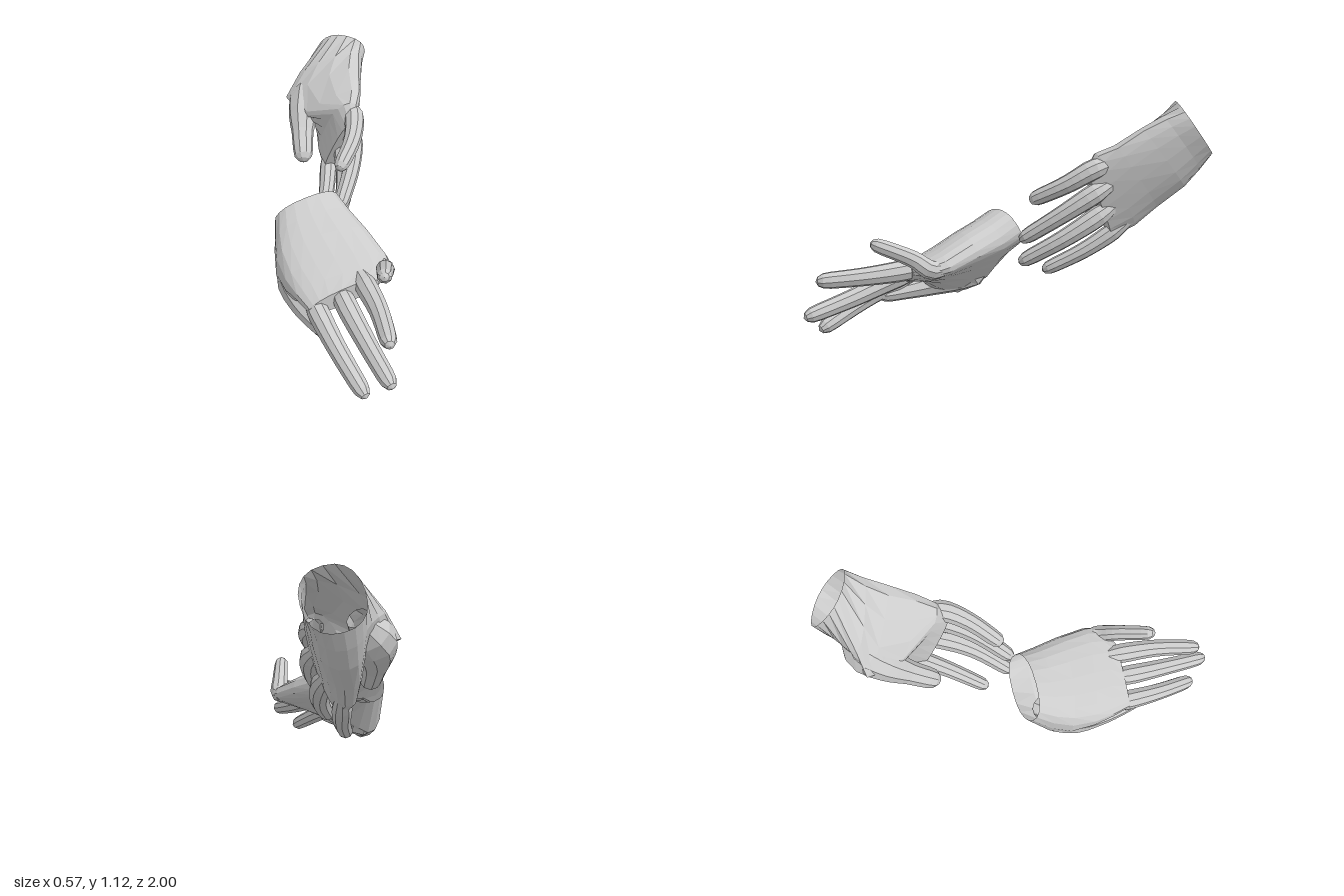
import * as THREE from 'three';

const V = (p) => new THREE.Vector3(...p);
const material = new THREE.MeshStandardMaterial({
  color: 0xcccccc, flatShading: true, side: THREE.DoubleSide,
});

// Skin a list of rings and close the far end on a point; the near end stays open
function loft(name, rings, end) {
  const n = rings[0].length, pos = [], idx = [];
  rings.forEach((r) => r.forEach((p) => pos.push(p.x, p.y, p.z)));
  for (let i = 0; i < rings.length - 1; i++) {
    for (let j = 0; j < n; j++) {
      const a = i * n + j, b = i * n + (j + 1) % n;
      idx.push(a, a + n, b, b, a + n, b + n);
    }
  }
  const first = (rings.length - 1) * n, c = pos.length / 3;
  pos.push(end.x, end.y, end.z);
  for (let j = 0; j < n; j++) idx.push(c, first + (j + 1) % n, first + j);
  const g = new THREE.BufferGeometry();
  g.setAttribute('position', new THREE.Float32BufferAttribute(pos, 3));
  g.setIndex(idx);
  g.computeVertexNormals();
  const mesh = new THREE.Mesh(g, material);
  mesh.name = name;
  return mesh;
}

// Palm section: [index-side edge, little-finger-side edge, back depth, palm depth,
// pull of the ball of the thumb]
function palm(stations) {
  const mid = stations.map(([a, b]) => V(a).add(V(b)).multiplyScalar(0.5));
  const last = mid.length - 1;
  const rings = stations.map(([a, b, back, front, ball], i) => {
    const u = V(a).sub(V(b)).multiplyScalar(0.5);
    const along = mid[Math.min(i + 1, last)].clone().sub(mid[Math.max(i - 1, 0)]);
    const nrm = u.clone().cross(along).normalize();
    return Array.from({ length: 20 }, (_, j) => {
      const t = (j / 20) * Math.PI * 2, c = Math.cos(t), s = Math.sin(t);
      const w = Math.sign(c) * Math.abs(c) ** 0.85;
      const d = Math.sign(s) * Math.abs(s) ** 0.85 * (s > 0 ? back : front);
      return mid[i].clone().addScaledVector(u, w).addScaledVector(nrm, d)
        .addScaledVector(V(ball), Math.max(0, Math.cos(t + 0.8)) ** 2.5);
    });
  });
  return loft('palm', rings, mid[last]);
}

// Finger or thumb: tapered tube along a curve with a round tip
function digit(name, points, radii, side) {
  const curve = new THREE.CatmullRomCurve3(points.map(V));
  const steps = [0, 0.1, 0.2, 0.3, 0.4, 0.5, 0.58, 0.66, 0.74, 0.82, 0.9, 0.95, 0.985];
  const rings = steps.map((s) => {
    const c = curve.getPoint(s), a = curve.getTangent(s);
    const u = side.clone().addScaledVector(a, -side.dot(a)).normalize();
    const v = u.clone().cross(a);
    const f = s * (radii.length - 1), k = Math.min(Math.floor(f), radii.length - 2);
    let r = THREE.MathUtils.lerp(radii[k], radii[k + 1], f - k);
    if (s > 0.92) r *= Math.sqrt(1 - ((s - 0.92) / 0.08) ** 2);
    return Array.from({ length: 9 }, (_, j) => {
      const t = (j / 9) * Math.PI * 2;
      return c.clone().addScaledVector(u, Math.cos(t) * r).addScaledVector(v, Math.sin(t) * r);
    });
  });
  return loft(name, rings, curve.getPoint(1));
}

function hand(name, spec) {
  const g = new THREE.Group();
  g.name = name;
  g.add(palm(spec.palm));
  const [a, b] = spec.palm[spec.palm.length - 1];
  const side = V(a).sub(V(b)).normalize();
  for (const [part, [points, radii]] of Object.entries(spec.digits)) {
    g.add(digit(part, points, radii, side));
  }
  return g;
}

const finger = [0.036, 0.054, 0.046, 0.039];
const slim = [0.034, 0.048, 0.042, 0.036];
const none = [0, 0, 0];

// Lower hand, back of the hand upward
const lower = {
  palm: [
    [[-0.28, 0.43, 0.06], [0.04, 0.51, -0.04], 0.11, 0.11, none],
    [[-0.285, 0.37, 0.15], [0.1, 0.46, 0.05], 0.11, 0.1, [0, -0.15, 0.03]],
    [[-0.28, 0.32, 0.25], [0.18, 0.41, 0.17], 0.105, 0.08, [0, -0.17, 0.04]],
    [[-0.245, 0.27, 0.37], [0.26, 0.35, 0.31], 0.09, 0.06, [0.02, -0.09, 0.04]],
    [[-0.19, 0.24, 0.48], [0.275, 0.33, 0.39], 0.072, 0.052, none],
    [[-0.13, 0.22, 0.57], [0.2, 0.32, 0.48], 0.048, 0.038, none],
  ],
  digits: {
    thumb: [[[-0.17, 0.32, 0.09], [-0.18, 0.24, 0.18], [-0.185, 0.2, 0.29],
      [-0.16, 0.17, 0.4], [-0.11, 0.155, 0.52], [-0.03, 0.15, 0.66]],
    [0.05, 0.1, 0.088, 0.064, 0.05, 0.042]],
    indexFinger: [[[-0.12, 0.245, 0.46], [-0.085, 0.21, 0.56], [-0.01, 0.13, 0.73],
      [0.105, 0.015, 0.94]], finger],
    middleFinger: [[[0.01, 0.285, 0.45], [0.04, 0.255, 0.56], [0.12, 0.18, 0.77],
      [0.21, 0.11, 1]], finger],
    ringFinger: [[[0.11, 0.33, 0.41], [0.14, 0.315, 0.52], [0.18, 0.3, 0.7],
      [0.2, 0.285, 0.94]], finger],
    littleFinger: [[[0.2, 0.345, 0.31], [0.235, 0.335, 0.39], [0.225, 0.39, 0.48],
      [0.2, 0.468, 0.68]], slim],
  },
};

// Upper hand, back of the hand turned to +x
const upper = {
  palm: [
    [[0.14, 1.115, -0.81], [0.08, 0.87, -1], 0.135, 0.13, none],
    [[0.13, 1.08, -0.72], [0.06, 0.79, -0.95], 0.125, 0.12, [-0.15, -0.13, 0]],
    [[0.125, 1.03, -0.61], [0.04, 0.7, -0.88], 0.12, 0.11, [-0.23, -0.2, -0.07]],
    [[0.13, 0.95, -0.48], [0, 0.59, -0.75], 0.11, 0.08, [-0.17, -0.17, -0.07]],
    [[0.14, 0.88, -0.41], [-0.01, 0.49, -0.64], 0.085, 0.055, [-0.03, -0.02, 0]],
    [[0.14, 0.78, -0.36], [0.01, 0.43, -0.52], 0.05, 0.038, none],
  ],
  digits: {
    thumb: [[[0, 0.9, -0.81], [-0.075, 0.81, -0.75], [-0.11, 0.73, -0.65],
      [-0.12, 0.65, -0.55], [-0.12, 0.54, -0.41]], [0.05, 0.105, 0.085, 0.06, 0.05]],
    indexFinger: [[[0.13, 0.82, -0.49], [0.15, 0.795, -0.4], [0.13, 0.72, -0.27],
      [0.05, 0.63, -0.1]], finger],
    middleFinger: [[[0.125, 0.72, -0.49], [0.145, 0.67, -0.4], [0.125, 0.57, -0.25],
      [0.05, 0.43, -0.05]], finger],
    ringFinger: [[[0.08, 0.61, -0.52], [0.1, 0.55, -0.43], [0.09, 0.44, -0.26],
      [0.02, 0.31, -0.05]], finger],
    littleFinger: [[[0.03, 0.52, -0.6], [0.02, 0.455, -0.52], [0, 0.36, -0.38],
      [-0.05, 0.25, -0.18]], slim],
  },
};

export function createModel() {
  const model = new THREE.Group();
  model.name = 'pairOfHands';
  model.add(hand('lowerHand', lower), hand('upperHand', upper));
  return model;
}
